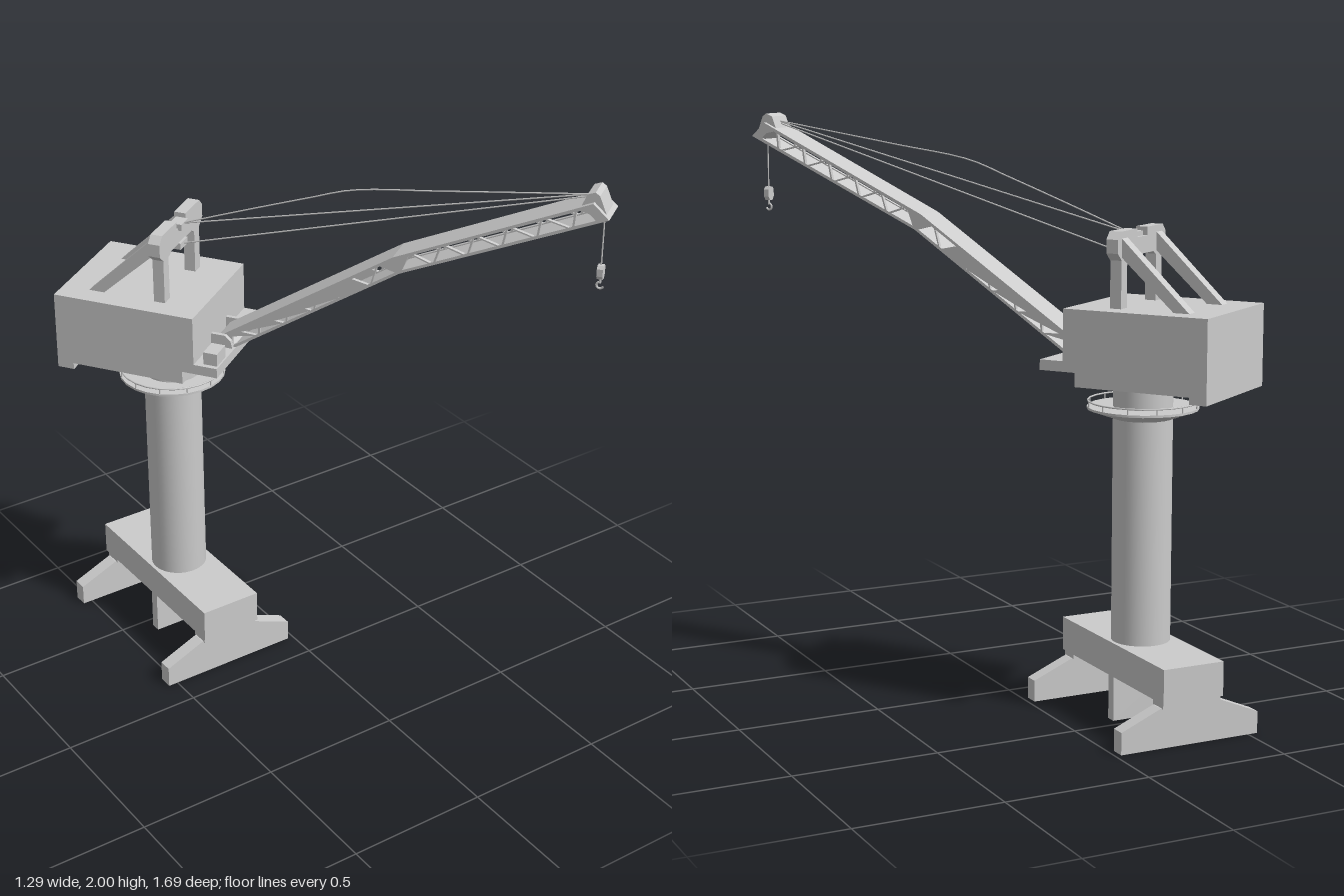
import * as THREE from 'three';

const material = new THREE.MeshStandardMaterial({ color: 0xcccccc, side: THREE.DoubleSide });

function add(parent, name, geometry, x = 0, y = 0, z = 0) {
  const mesh = new THREE.Mesh(geometry, material);
  mesh.name = name;
  mesh.position.set(x, y, z);
  parent.add(mesh);
  return mesh;
}

// Box given by its minimum and maximum corners
function block(parent, name, [x0, y0, z0], [x1, y1, z1]) {
  return add(parent, name, new THREE.BoxGeometry(x1 - x0, y1 - y0, z1 - z0),
    (x0 + x1) / 2, (y0 + y1) / 2, (z0 + z1) / 2);
}

const toShape = (pts) => new THREE.Shape(pts.map(([a, b]) => new THREE.Vector2(a, b)));

// Outline in (z, y), extruded across x and centred on x
function sidePlate(parent, name, pts, width, x = 0, holes = []) {
  const shape = toShape(pts);
  shape.holes = holes.map(toShape);
  const geo = new THREE.ExtrudeGeometry(shape, { depth: width, bevelEnabled: false });
  geo.translate(0, 0, -width / 2).rotateY(-Math.PI / 2);
  return add(parent, name, geo, x);
}

// Outline in (x, y), extruded along z and centred on z
function frontPlate(parent, name, pts, depth, z = 0) {
  const geo = new THREE.ExtrudeGeometry(toShape(pts), { depth, bevelEnabled: false });
  return add(parent, name, geo.translate(0, 0, -depth / 2), 0, 0, z);
}

function cable(parent, name, pts, radius = 0.0025) {
  const curve = new THREE.CatmullRomCurve3(pts.map(([z, y]) => new THREE.Vector3(0, y, z)));
  return add(parent, name, new THREE.TubeGeometry(curve, pts.length > 2 ? 28 : 1, radius, 6));
}

// Portal base, local to the column axis
function buildBase(crane) {
  block(crane, 'baseBeam', [-0.112, 0.153, -0.354], [0.112, 0.27, 0.354]);
  for (const s of [-1, 1]) {
    frontPlate(crane, 'foot', [[-0.257, 0], [0.257, 0], [0.257, 0.075],
      [0.112, 0.136], [-0.112, 0.136], [-0.257, 0.075]], 0.05, s * 0.312);
    block(crane, 'footPad', [-0.108, 0.134, s * 0.312 - 0.033], [0.108, 0.155, s * 0.312 + 0.033]);
  }
  block(crane, 'middleFoot', [-0.112, 0, -0.018], [0.112, 0.155, 0.018]);
}

// Column with its walkway
function buildColumn(crane) {
  add(crane, 'column', new THREE.CylinderGeometry(0.1, 0.1, 0.9, 40), 0, 0.71, 0);
  add(crane, 'walkwaySkirt', new THREE.CylinderGeometry(0.185, 0.1, 0.032, 24, 1, true), 0, 1.046, 0);
  add(crane, 'walkwayDeck', new THREE.CylinderGeometry(0.187, 0.187, 0.008, 24), 0, 1.065, 0);
  add(crane, 'walkwayRail', new THREE.TorusGeometry(0.184, 0.003, 6, 24).rotateX(Math.PI / 2), 0, 1.088, 0);
  for (let i = 0; i < 12; i++) {
    const a = (i + 0.5) * Math.PI / 6;
    add(crane, 'railPost', new THREE.CylinderGeometry(0.0025, 0.0025, 0.024, 6),
      0.184 * Math.sin(a), 1.077, 0.184 * Math.cos(a));
  }
}

// Machine house and the A-frame on its roof
function buildHouse(top) {
  sidePlate(top, 'machineHouse', [[-0.33, 1.13], [-0.27, 1.13], [-0.27, 1.153], [0.14, 1.153],
    [0.14, 1.2], [0.268, 1.2], [0.268, 1.235], [0.183, 1.235], [0.183, 1.408], [-0.33, 1.408]], 0.45);
  block(top, 'controlBox', [-0.208, 1.235, 0.212], [-0.135, 1.28, 0.262]);
  for (const s of [-1, 1]) {
    block(top, 'framePost', [s * 0.129 - 0.021, 1.405, 0.01], [s * 0.129 + 0.021, 1.6, 0.05]);
    sidePlate(top, 'backStay', [[-0.235, 1.405], [-0.18, 1.405], [0.025, 1.59], [0.012, 1.64]],
      0.042, s * 0.129);
    sidePlate(top, 'boomLug', [[0.175, 1.23], [0.262, 1.23], [0.255, 1.262], [0.235, 1.28], [0.175, 1.28]],
      0.014, s * 0.066);
  }
  frontPlate(top, 'frameHead', [[-0.178, 1.59], [-0.15, 1.565], [-0.1, 1.565], [-0.085, 1.575],
    [0.085, 1.575], [0.1, 1.565], [0.15, 1.565], [0.178, 1.59], [0.178, 1.635], [0.155, 1.66],
    [0.037, 1.66], [0.037, 1.632], [-0.037, 1.632], [-0.037, 1.66], [-0.155, 1.66], [-0.178, 1.635]],
  0.042, 0.03);
  block(top, 'upperSheave', [-0.028, 1.625, 0.02], [0.028, 1.648, 0.065]);
  block(top, 'lowerSheave', [-0.03, 1.555, 0.02], [0.03, 1.578, 0.06]);
}

// Cranked box boom with pierced sides
function buildBoom(top) {
  const upper = [[0.2, 1.263], [0.825, 1.672], [1.474, 1.968]];
  const lower = [[0.255, 1.227], [0.85, 1.618], [1.527, 1.92]];
  const mix = (a, b, t) => [a[0] + (b[0] - a[0]) * t, a[1] + (b[1] - a[1]) * t];
  // Point on section k: u runs along it, v from lower to upper edge
  const at = (k, u, v) => mix(mix(lower[k], lower[k + 1], u), mix(upper[k], upper[k + 1], u), v);

  const holes = [];
  const count = 11, step = 1 / (count + 1);
  for (let k = 0; k < 2; k++) {
    for (let i = 0; i < count; i++) {
      const c = (i + 1) * step, h = 0.78 * step;
      const base = i % 2 ? 0.84 : 0.16;
      holes.push([at(k, c - h, base), at(k, c + h, base), at(k, c + h * 0.12, 1 - base), at(k, c - h * 0.12, 1 - base)]);
    }
  }
  const outline = [...lower, ...[...upper].reverse()];
  for (const s of [-1, 1]) sidePlate(top, 'boomSide', outline, 0.012, s * 0.0515, holes);

  const strip = (v0, v1) => [at(0, 0, v0), at(1, 0, v0), at(1, 1, v0), at(1, 1, v1), at(1, 0, v1), at(0, 0, v1)];
  sidePlate(top, 'boomTopPlate', strip(0.9, 1), 0.115);
  sidePlate(top, 'boomBottomPlate', strip(0, 0.1), 0.115);
  sidePlate(top, 'boomFootPlate', [at(0, 0, 0), at(0, 0.02, 0), at(0, 0.02, 1), at(0, 0, 1)], 0.115);
  sidePlate(top, 'boomTipPlate', [at(1, 0.95, 0), at(1, 1, 0), at(1, 1, 1), at(1, 0.95, 1)], 0.115);
  sidePlate(top, 'boomHead', [[1.43, 1.94], [1.515, 1.93], [1.49, 1.99], [1.475, 2], [1.45, 1.99]], 0.085);
}

// Stays, hoist rope and hook
function buildRigging(top) {
  cable(top, 'slackRope', [[0.05, 1.64], [0.28, 1.725], [0.517, 1.81], [0.663, 1.86], [0.966, 1.905], [1.46, 1.975]]);
  cable(top, 'upperStay', [[0.05, 1.64], [1.46, 1.975]]);
  cable(top, 'lowerStay', [[0.05, 1.565], [1.46, 1.97]]);
  cable(top, 'hoistRope', [[1.5, 1.93], [1.5, 1.73]]);
  frontPlate(top, 'hookBlock', [[-0.008, 1.69], [0.008, 1.69], [0.016, 1.703], [0.016, 1.728],
    [0.008, 1.738], [-0.008, 1.738], [-0.016, 1.728], [-0.016, 1.703]], 0.02, 1.5);
  const hook = new THREE.TorusGeometry(0.011, 0.004, 6, 14, Math.PI * 1.4);
  add(top, 'hook', hook.rotateZ(-Math.PI * 0.9).rotateY(Math.PI / 2), 0, 1.666, 1.5);
  add(top, 'hookShank', new THREE.CylinderGeometry(0.004, 0.004, 0.018, 6), 0, 1.683, 1.5);
}

export function createModel() {
  const crane = new THREE.Group();
  crane.name = 'harbourCrane';

  const portal = new THREE.Group();
  portal.name = 'portal';
  portal.position.set(-0.278, 0, -0.445);
  crane.add(portal);
  buildBase(portal);
  buildColumn(portal);

  // Everything above the column is slewed to one side
  const slewing = new THREE.Group();
  slewing.name = 'slewingTop';
  slewing.rotation.y = 0.606;
  portal.add(slewing);
  buildHouse(slewing);
  buildBoom(slewing);
  buildRigging(slewing);

  return crane;
}
